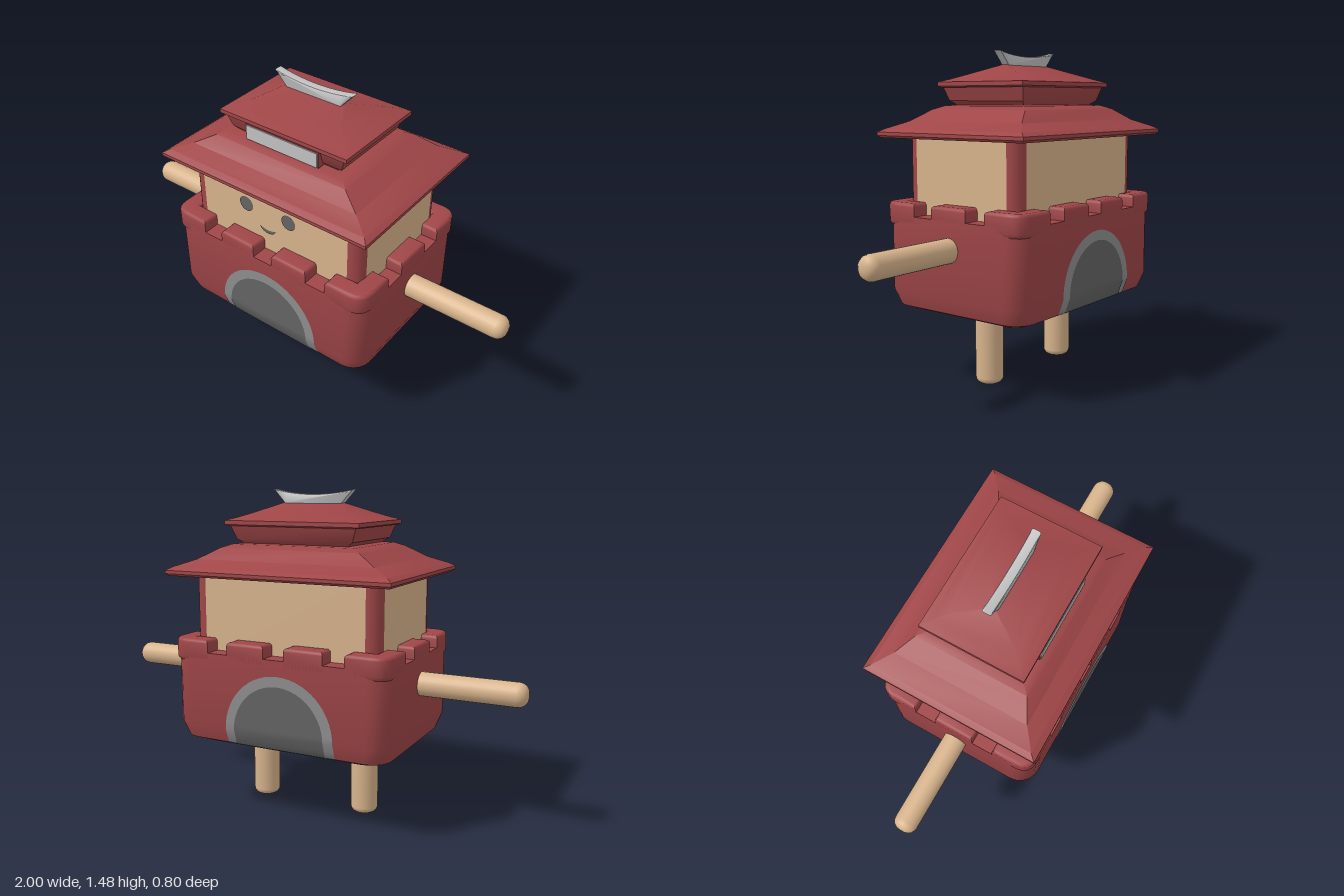
import * as THREE from 'three';
import { toCreasedNormals, mergeGeometries } from 'three/addons/utils/BufferGeometryUtils.js';

const mat = (name, color, side = THREE.FrontSide) => {
  const m = new THREE.MeshStandardMaterial({ color, side });
  m.name = name;
  return m;
};

// Closed solid through horizontal rounded rectangles: [y, halfX, halfZ, cornerRadius]
function loft(rings, seg, crease) {
  const pos = [], idx = [], n = 4 * (seg + 1);
  for (const [y, hx, hz, r = 0] of rings) {
    for (let q = 0; q < 4; q++) {
      const sx = q === 0 || q === 3 ? 1 : -1, sz = q < 2 ? -1 : 1;
      for (let k = 0; k <= seg; k++) {
        const a = (q + (seg ? k / seg : 0)) * Math.PI / 2;
        pos.push(sx * (hx - r) + r * Math.cos(a), y, sz * (hz - r) - r * Math.sin(a));
      }
    }
  }
  for (let i = 0; i < rings.length - 1; i++) {
    for (let j = 0; j < n; j++) {
      const a = i * n + j, b = i * n + (j + 1) % n;
      idx.push(a, b, b + n, a, b + n, a + n);
    }
  }
  const top = (rings.length - 1) * n;
  for (let j = 1; j < n - 1; j++) idx.push(0, j + 1, j, top, top + j, top + j + 1);
  const g = new THREE.BufferGeometry();
  g.setAttribute('position', new THREE.Float32BufferAttribute(pos, 3));
  g.setIndex(idx);
  return toCreasedNormals(g, crease);
}

// Limb with a rounded lower end at y = 0
function limb(r, length, bevel) {
  const pts = [new THREE.Vector2(0, 0)];
  for (let i = 0; i <= 4; i++) {
    const a = i / 4 * Math.PI / 2;
    pts.push(new THREE.Vector2(r - bevel + bevel * Math.sin(a), bevel * (1 - Math.cos(a))));
  }
  pts.push(new THREE.Vector2(r, length));
  return new THREE.LatheGeometry(pts, 24);
}

// Body outline from underside to battlement floor
const BODY = [
  [0.33, 0.43, 0.29, 0.06], [0.36, 0.505, 0.36, 0.09], [0.43, 0.53, 0.385, 0.1], [0.765, 0.53, 0.385, 0.1],
];
function bodyDepth(y) {
  for (let i = 1; i < BODY.length; i++) {
    const [y0, , z0] = BODY[i - 1], [y1, , z1] = BODY[i];
    if (y <= y1) return z0 + (z1 - z0) * (y - y0) / (y1 - y0);
  }
  return 0.385;
}

// Arched plate that follows the curve of the body front
function archPlate(cx, r, lift) {
  const rows = [[0.352, r], [0.362, r], [0.395, r], [0.43, r]], pos = [], idx = [];
  for (let i = 1; i <= 14; i++) {
    const a = i / 14 * Math.PI / 2;
    rows.push([0.43 + r * Math.sin(a), r * Math.cos(a)]);
  }
  rows.forEach(([y, w], i) => {
    const z = bodyDepth(y) + lift;
    pos.push(cx - w, y, z, cx + w, y, z);
    const a = 2 * i;
    if (i < rows.length - 1) idx.push(a, a + 1, a + 3, a, a + 3, a + 2);
  });
  const g = new THREE.BufferGeometry();
  g.setAttribute('position', new THREE.Float32BufferAttribute(pos, 3));
  g.setIndex(idx);
  g.computeVertexNormals();
  return g;
}

// Battlement block from a plan outline, edges rounded
function merlon(shape) {
  const b = 0.016;
  const g = new THREE.ExtrudeGeometry(shape, {
    depth: 0.1 - 2 * b, bevelThickness: b, bevelSize: b, bevelOffset: -b, bevelSegments: 3, curveSegments: 6,
  });
  g.rotateX(-Math.PI / 2).translate(0, 0.722 + b, 0);
  return toCreasedNormals(g, 0.6);
}
function rectShape(x0, x1, y0, y1) {
  return new THREE.Shape([[x0, y0], [x1, y0], [x1, y1], [x0, y1]].map(p => new THREE.Vector2(...p)));
}
function cornerShape(sx, sz) {
  const s = new THREE.Shape();
  s.moveTo(0.335 * sx, 0.385 * sz);
  s.lineTo(0.45 * sx, 0.385 * sz);
  s.quadraticCurveTo(0.53 * sx, 0.385 * sz, 0.53 * sx, 0.305 * sz);
  for (const [x, z] of [[0.53, 0.195], [0.44, 0.195], [0.44, 0.295], [0.335, 0.295]]) s.lineTo(x * sx, z * sz);
  return s;
}

export function createModel() {
  const model = new THREE.Group();
  model.name = 'towerFigure';
  const red = mat('brick red', 0xa04648);
  const tan = mat('tan', 0xd8b48c);
  const dark = mat('dark grey', 0x646464, THREE.DoubleSide);
  const grey = mat('mid grey', 0x8e8e8e, THREE.DoubleSide);
  const light = mat('light grey', 0xc2c2c2);
  const add = (name, geo, material, parent = model) => {
    const m = new THREE.Mesh(geo, material);
    m.name = name;
    parent.add(m);
    return m;
  };

  // Fortress body and battlements
  add('body', loft(BODY, 5, 0.8), red);
  const blocks = [];
  for (const s of [-1, 1]) {
    for (const t of [-1, 1]) {
      blocks.push(merlon(cornerShape(s, t)));
      const xs = [0.05 * t, 0.235 * t].sort((a, b) => a - b), zs = [0.295 * s, 0.385 * s].sort((a, b) => a - b);
      blocks.push(merlon(rectShape(...xs, ...zs)));
    }
    const xs = [0.44 * s, 0.53 * s].sort((a, b) => a - b);
    blocks.push(merlon(rectShape(...xs, -0.095, 0.095)));
  }
  add('battlements', mergeGeometries(blocks), red);

  // Gate on the front, repeated on the back
  for (const [name, turn] of [['frontGate', 0], ['backGate', Math.PI]]) {
    const gate = new THREE.Group();
    gate.name = name;
    gate.rotation.y = turn;
    add('gateFrame', archPlate(0.02, 0.265, 0.003), grey, gate);
    add('gateDoor', archPlate(0.02, 0.22, 0.006), dark, gate);
    model.add(gate);
  }

  // Arms and legs
  for (const s of [-1, 1]) {
    const side = s > 0 ? 'left' : 'right';
    const arm = add(side + 'Arm', limb(0.054, 0.52, 0.042), tan);
    arm.position.set(s, 0.64, 0);
    arm.rotation.z = s * Math.PI / 2;
    add(side + 'Leg', limb(0.063, 0.36, 0.028), tan).position.x = 0.263 * s;
  }

  // Upper room: walls with rounded corner posts
  add('frontAndBackWalls', new THREE.BoxGeometry(0.8, 0.4, 0.61), tan).position.y = 0.92;
  add('sideWalls', new THREE.BoxGeometry(0.905, 0.4, 0.51), tan).position.y = 0.92;
  for (const sx of [-1, 1]) for (const sz of [-1, 1]) {
    add('cornerPost', new THREE.CylinderGeometry(0.053, 0.053, 0.4, 24), red)
      .position.set(sx * 0.4, 0.92, sz * 0.253);
  }

  // Face
  for (const x of [-0.142, 0.09]) add('eye', new THREE.CircleGeometry(0.037, 24), dark).position.set(x, 0.97, 0.309);
  const smile = new THREE.Shape();
  smile.moveTo(-0.068, 0.888);
  smile.quadraticCurveTo(-0.025, 0.868, 0.018, 0.888);
  smile.quadraticCurveTo(0.01, 0.862, -0.025, 0.86);
  smile.quadraticCurveTo(-0.06, 0.862, -0.068, 0.888);
  add('mouth', new THREE.ShapeGeometry(smile), dark).position.z = 0.309;

  // Roofs and the tier between them
  add('lowerRoof', loft([
    [1.1, 0.53, 0.39], [1.11, 0.54, 0.402], [1.125, 0.54, 0.402], [1.14, 0.515, 0.375], [1.172, 0.43, 0.31],
    [1.222, 0.34, 0.258], [1.238, 0.3, 0.22], [1.242, 0.25, 0.18],
  ], 0, 0.6), red);
  add('upperTier', loft([
    [1.22, 0.24, 0.17], [1.245, 0.26, 0.19], [1.26, 0.285, 0.205], [1.33, 0.31, 0.225],
  ], 0, 0.6), red);
  add('upperRoof', loft([
    [1.318, 0.315, 0.225], [1.324, 0.328, 0.236], [1.342, 0.328, 0.236], [1.355, 0.285, 0.2],
    [1.375, 0.235, 0.145], [1.418, 0.15, 0.012], [1.421, 0.14, 0.005],
  ], 0, 0.6), red);

  // Blank sign over the front
  add('signBoard', new THREE.BoxGeometry(0.38, 0.07, 0.1), red).position.set(0, 1.281, 0.182);
  add('signPlate', new THREE.BoxGeometry(0.37, 0.066, 0.006), light).position.set(0, 1.281, 0.234);

  // Curved ridge ornament
  const crest = new THREE.Shape();
  crest.moveTo(-0.14, 1.412);
  crest.lineTo(0.14, 1.412);
  crest.quadraticCurveTo(0.165, 1.44, 0.2, 1.478);
  crest.quadraticCurveTo(0, 1.434, -0.2, 1.478);
  crest.quadraticCurveTo(-0.165, 1.44, -0.14, 1.412);
  const crestGeo = new THREE.ExtrudeGeometry(crest, {
    depth: 0.026, bevelThickness: 0.008, bevelSize: 0.005, bevelOffset: -0.005, bevelSegments: 2, curveSegments: 12,
  });
  crestGeo.translate(0, 0, -0.013);
  add('ridgeOrnament', toCreasedNormals(crestGeo, 0.6), light);

  return model;
}
